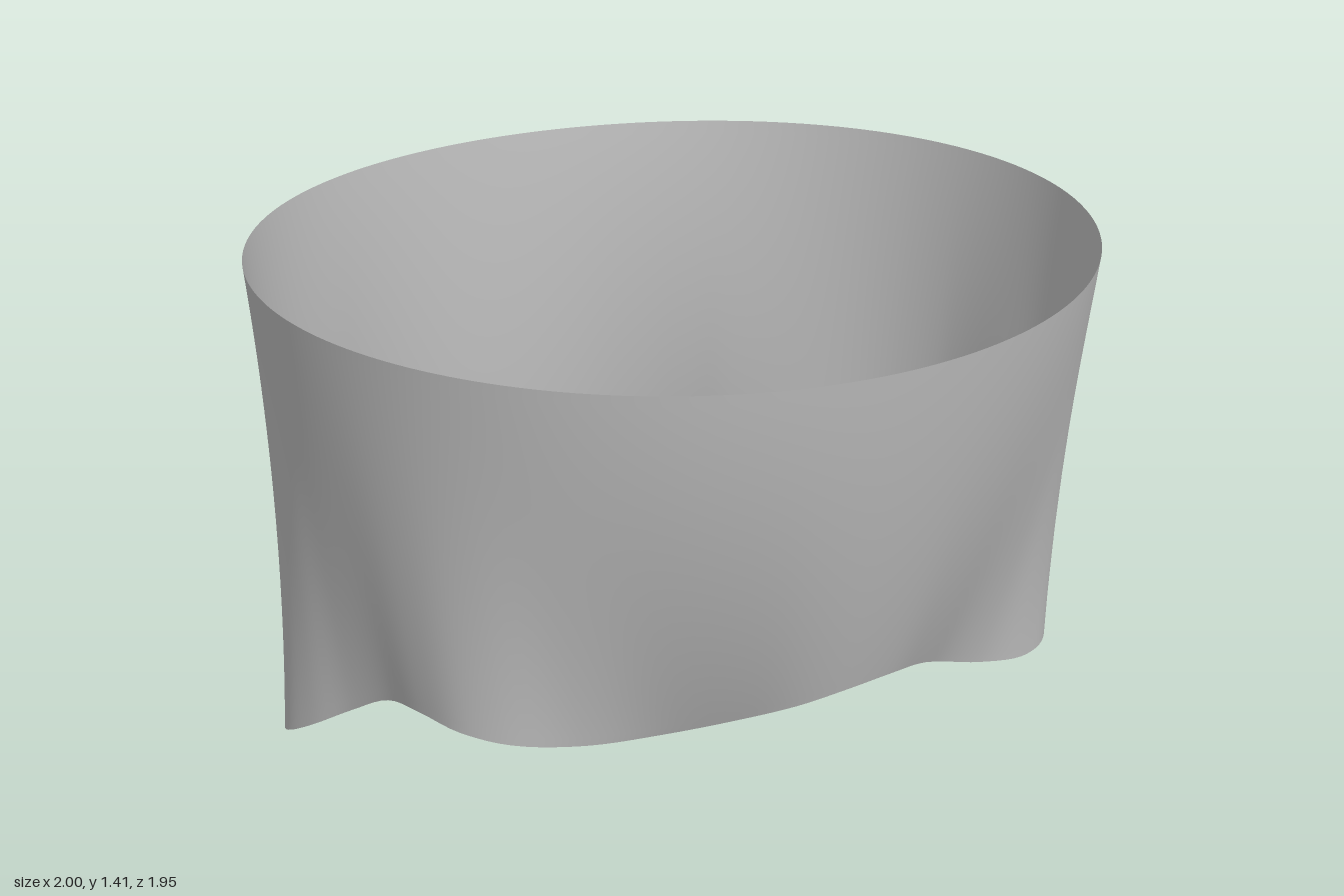
import * as THREE from 'three';

// Lower hem of the band, counter-clockwise from the front: x, y, z
const HEM = [
  [0.07, 0.565, 0.78], [0.2, 0.565, 0.755], [0.32, 0.53, 0.685], [0.42, 0.48, 0.62],
  [0.55, 0.425, 0.57], [0.7, 0.385, 0.525], [0.8, 0.375, 0.46], [0.86, 0.377, 0.36],
  [0.88, 0.4, 0.16], [0.862, 0.38, 0], [0.9, 0.3, -0.18], [0.895, 0.24, -0.28],
  [0.82, 0.185, -0.41], [0.65, 0.155, -0.58], [0.53, 0.172, -0.755], [0.46, 0.18, -0.86],
  [0.37, 0.165, -0.935], [0.24, 0.125, -0.975], [0.1, 0.07, -0.965], [-0.03, 0.025, -0.94],
  [-0.18, 0, -0.92], [-0.32, 0.018, -0.918], [-0.44, 0.06, -0.895], [-0.54, 0.12, -0.83],
  [-0.6, 0.16, -0.72], [-0.66, 0.188, -0.61], [-0.75, 0.195, -0.49], [-0.86, 0.19, -0.36],
  [-0.93, 0.207, -0.23], [-0.955, 0.25, -0.12], [-0.93, 0.32, 0], [-0.87, 0.405, 0.12],
  [-0.825, 0.485, 0.25], [-0.8, 0.518, 0.39], [-0.75, 0.515, 0.51], [-0.66, 0.5, 0.585],
  [-0.5, 0.48, 0.625], [-0.32, 0.478, 0.65], [-0.16, 0.505, 0.705], [-0.04, 0.54, 0.76],
];
const AROUND = 200, DOWN = 40;
const CENTRE_Z = 0.035, DEPTH = 0.935, TAPER = 0.12;

// Open wall blending from a smooth oval rim down to the wavy hem
function wallGeometry() {
  const hem = new THREE.CatmullRomCurve3(HEM.map(p => new THREE.Vector3(...p)), true);
  const positions = [], indices = [];
  for (let i = 0; i < AROUND; i++) {
    const low = hem.getPoint(i / AROUND);
    const a = Math.atan2(low.x, low.z - CENTRE_Z);
    const s = Math.sin(a), c = Math.cos(a);
    const top = new THREE.Vector3(s, 1.397 + 0.017 * s * s, CENTRE_Z + DEPTH * c);
    for (let j = 0; j <= DOWN; j++) {
      const t = j / DOWN, t2 = t * t;
      // even inward taper first, with the folds growing towards the hem
      const pull = TAPER * (t - t2);
      positions.push(
        top.x + (low.x - top.x) * t2 - s * pull,
        top.y + (low.y - top.y) * t,
        top.z + (low.z - top.z) * t2 - c * pull,
      );
      if (j < DOWN) {
        const p = i * (DOWN + 1) + j, q = ((i + 1) % AROUND) * (DOWN + 1) + j;
        indices.push(p, p + 1, q, q, p + 1, q + 1);
      }
    }
  }
  const geometry = new THREE.BufferGeometry();
  geometry.setAttribute('position', new THREE.Float32BufferAttribute(positions, 3));
  geometry.setIndex(indices);
  geometry.computeVertexNormals();
  return geometry;
}

export function createModel() {
  const group = new THREE.Group();
  group.name = 'wavyBand';
  const grey = new THREE.MeshStandardMaterial({ color: 0xbfbfbf, side: THREE.DoubleSide });
  grey.name = 'light grey';
  const wall = new THREE.Mesh(wallGeometry(), grey);
  wall.name = 'wall';
  group.add(wall);
  return group;
}
